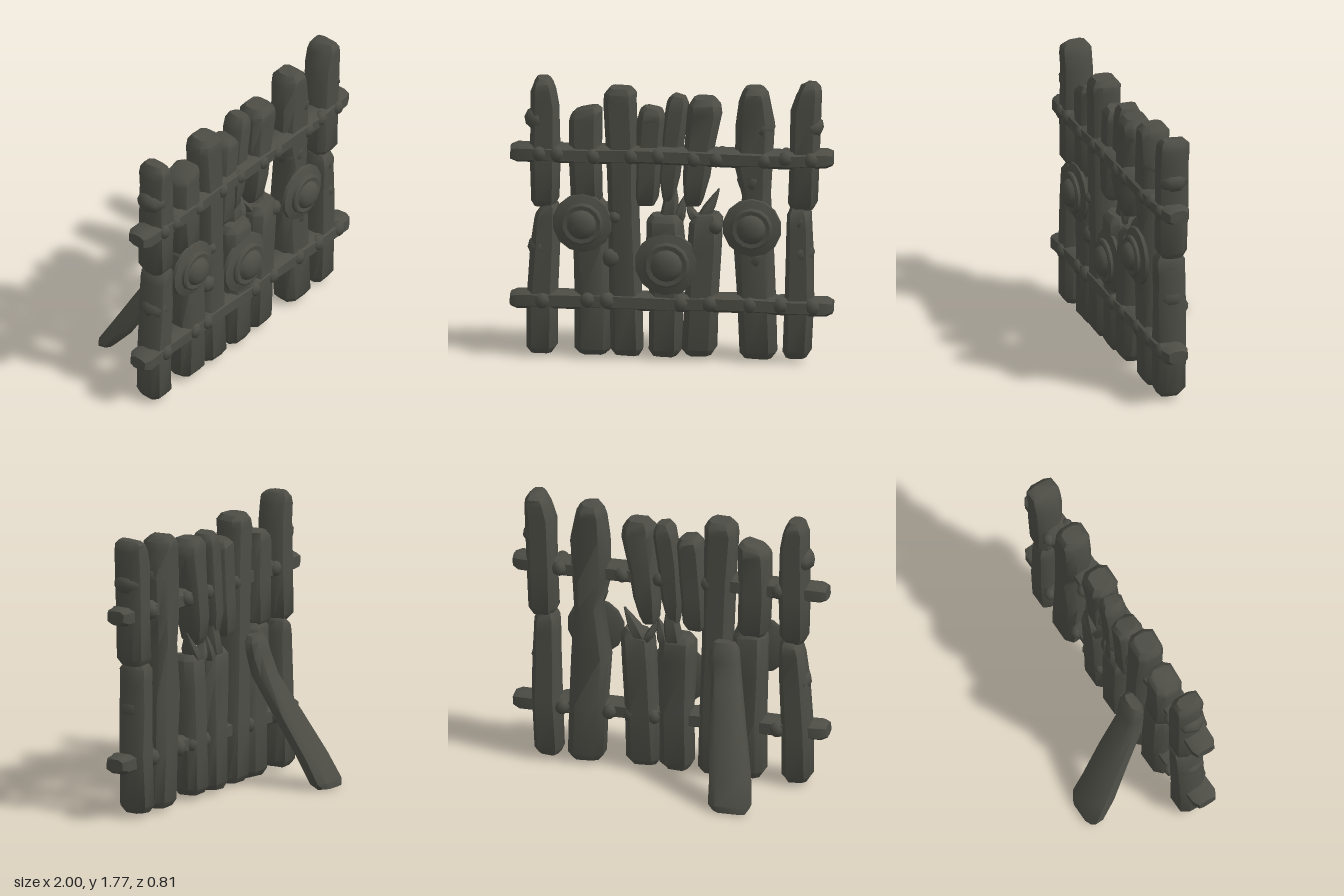
import * as THREE from 'three';
import { toCreasedNormals } from 'three/addons/utils/BufferGeometryUtils.js';

const wood = new THREE.MeshStandardMaterial({ color: 0x4d4d46 });
wood.name = 'dark weathered wood';

// Eight-sided chamfered section, as fractions of half width and half depth
const SECTION = [[1, -0.5], [1, 0.5], [0.62, 1], [-0.62, 1], [-1, 0.5], [-1, -0.5], [-0.62, -1], [0.62, -1]];

let seed = 7;
const rand = () => {
  seed = (seed * 16807) % 2147483647;
  return seed / 2147483647 - 0.5;
};

// Hewn timber through rows of [x, y, z, halfWidth, halfDepth]
function timberGeometry(rows, { wobble = 0.008, slant = 0 } = {}) {
  const n = SECTION.length, pos = [], index = [], last = rows.length - 1;
  const lerpRow = (a, b, t) => a.map((v, i) => v + (b[i] - v) * t);
  const shrink = r => [r[0], r[1], r[2], r[3] * 0.72, r[4] * 0.72];
  const inset = (a, b) => lerpRow(a, b, Math.min(0.4, 0.04 / Math.abs(b[1] - a[1])));
  // rounded ends
  const rings = [shrink(rows[0]), inset(rows[0], rows[1]), ...rows.slice(1, last),
    inset(rows[last], rows[last - 1]), shrink(rows[last])];
  rings.forEach(([x, y, z, w, d], i) => {
    const tilt = i >= rings.length - 2 ? slant : 0;
    SECTION.forEach(([u, v]) => pos.push(
      x + u * w + rand() * wobble, y + tilt * u * w + rand() * wobble, z + v * d + rand() * wobble));
  });
  for (let i = 0; i < rings.length - 1; i++) {
    for (let j = 0; j < n; j++) {
      const a = i * n + j, b = i * n + (j + 1) % n;
      index.push(a, a + n, b, b, a + n, b + n);
    }
  }
  // end caps
  const top = (rings.length - 1) * n;
  for (let j = 1; j < n - 1; j++) {
    index.push(0, j, j + 1, top, top + j + 1, top + j);
  }
  const g = new THREE.BufferGeometry();
  g.setAttribute('position', new THREE.Float32BufferAttribute(pos, 3));
  g.setIndex(index);
  return toCreasedNormals(g, 0.8);
}

export function createModel() {
  const group = new THREE.Group();
  const add = (name, geometry, x = 0, y = 0, z = 0) => {
    const m = new THREE.Mesh(geometry, wood);
    m.name = name;
    m.position.set(x, y, z);
    group.add(m);
    return m;
  };
  // Upright board from rows of [x, y, halfWidth]
  const board = (name, pts, slant = 0, z = 0.21, d = 0.09) =>
    add(name, timberGeometry(pts.map(([x, y, w, k = 1]) => [x, y, z, w, d * k]), { slant }));

  // End posts, each snapped in two
  board('leftPostLower', [[-0.81, 0.02, 0.09], [-0.81, 0.35, 0.09], [-0.79, 0.7, 0.085], [-0.78, 0.87, 0.075], [-0.77, 0.97, 0.055]], 0.3);
  board('leftPostUpper', [[-0.79, 0.95, 0.085], [-0.79, 1.25, 0.09], [-0.79, 1.58, 0.085], [-0.8, 1.68, 0.075], [-0.8, 1.76, 0.05]]);
  board('rightPostLower', [[0.77, 0.03, 0.085], [0.79, 0.4, 0.088], [0.79, 0.68, 0.08], [0.79, 0.85, 0.075], [0.785, 0.98, 0.07]]);
  board('rightPostUpper', [[0.81, 0.97, 0.09], [0.82, 1.3, 0.088], [0.83, 1.6, 0.09], [0.85, 1.7, 0.075], [0.86, 1.765, 0.05]]);

  // Pickets
  board('picketOneLower', [[-0.49, 0.02, 0.11], [-0.49, 0.4, 0.11], [-0.5, 0.7, 0.11], [-0.51, 1.0, 0.1]]);
  board('picketOneUpper', [[-0.53, 0.96, 0.09], [-0.54, 1.25, 0.095], [-0.54, 1.5, 0.098], [-0.53, 1.575, 0.09]], 0.2);
  board('picketTwo', [[-0.28, 0.02, 0.1], [-0.29, 0.4, 0.1], [-0.3, 0.9, 0.09], [-0.31, 1.3, 0.095], [-0.325, 1.62, 0.1], [-0.32, 1.71, 0.09]]);
  board('picketThreeLower', [[-0.045, 0.02, 0.1], [-0.04, 0.4, 0.1], [-0.045, 0.75, 0.115], [-0.05, 0.91, 0.11]]);
  board('picketThreeUpper', [[-0.165, 0.97, 0.075], [-0.15, 1.2, 0.08], [-0.13, 1.5, 0.085], [-0.12, 1.585, 0.07]], -0.2, 0.2, 0.08);
  board('picketFourUpper', [[-0.03, 0.98, 0.03, 0.6], [-0.02, 1.15, 0.065], [0, 1.4, 0.07], [0.025, 1.57, 0.07], [0.04, 1.66, 0.055]], -0.2, 0.19, 0.07);
  board('picketFiveLower', [[0.165, 0.03, 0.105], [0.18, 0.4, 0.1], [0.2, 0.7, 0.1], [0.21, 0.92, 0.1]], 0.15);
  board('picketFiveUpper', [[0.13, 0.97, 0.055, 0.7], [0.15, 1.15, 0.08], [0.17, 1.35, 0.09], [0.2, 1.55, 0.105], [0.2, 1.655, 0.09]]);
  board('picketSix', [[0.535, 0.02, 0.115], [0.52, 0.4, 0.115], [0.505, 0.72, 0.12], [0.52, 1.05, 0.085], [0.505, 1.23, 0.115],
    [0.515, 1.5, 0.115], [0.51, 1.65, 0.09], [0.51, 1.73, 0.07]]);

  // Splinters on the broken boards: root x, y, tip x, y, half width
  [[-0.03, 0.85, 0.005, 1.15, 0.06], [0.03, 0.85, 0.07, 1.02, 0.04], [0.17, 0.85, 0.285, 1.07, 0.05],
    [0.15, 0.86, 0.08, 0.99, 0.035]].forEach(([x0, y0, x1, y1, w], i) => {
    add('splinter' + (i + 1), timberGeometry([[x0, y0, 0.18, w, 0.06],
      [(x0 + x1) / 2, (y0 + y1) / 2, 0.18, w * 0.75, 0.045], [x1, y1, 0.17, 0.006, 0.008]], { wobble: 0.004 }));
  });

  // Cross rails, lofted upright and laid on their side
  [['upperRail', 1.29], ['lowerRail', 0.36]].forEach(([name, y]) => {
    const rows = [];
    for (let i = 0; i <= 8; i++) rows.push([rand() * 0.012, -1 + i * 0.25, 0.23 + rand() * 0.012, 0.056, 0.08]);
    add(name, timberGeometry(rows, { wobble: 0.004 }), 0, y).rotation.z = -Math.PI / 2;
  });

  // Pegs through the rails, front and back
  const lump = new THREE.SphereGeometry(1, 7, 5);
  const peg = (name, x, y, z, sx, sy, sz) => {
    const m = add(name, lump, x, y, z);
    m.scale.set(sx, sy, sz);
    m.rotation.z = rand();
  };
  const upperPegs = [-0.82, -0.71, -0.485, -0.25, -0.08, 0.14, 0.28, 0.58, 0.71, 0.87];
  const lowerPegs = [-0.8, -0.52, -0.4, 0.06, 0.24, 0.49, 0.68, 0.88];
  upperPegs.forEach(x => peg('upperPeg', x, 1.29 + rand() * 0.02, 0.295, 0.047, 0.05, 0.042));
  lowerPegs.forEach(x => peg('lowerPeg', x, 0.37 + rand() * 0.02, 0.295, 0.05, 0.052, 0.042));
  [-0.7, -0.25, 0.06, 0.3, 0.7].forEach(x => peg('upperBackPeg', x, 1.29, 0.155, 0.045, 0.05, 0.04));
  [-0.69, -0.4, 0.1, 0.24, 0.38, 0.68].forEach(x => peg('lowerBackPeg', x, 0.36, 0.155, 0.045, 0.05, 0.04));

  // Knots bulging from the timber: x, y, radius
  [[-0.84, 1.5, 0.08], [-0.82, 0.69, 0.08], [0.87, 1.49, 0.075], [0.8, 0.69, 0.09], [0.79, 0.9, 0.08],
    [0.56, 1.48, 0.085], [0.52, 0.66, 0.11], [0.5, 1.14, 0.1]].forEach(([x, y, r]) =>
    peg('knot', x, y, 0.215, r, r * 0.95, 0.098));
  [[-0.375, 0.64, 0.06], [-0.35, 0.9, 0.04], [0.275, 0.855, 0.05]].forEach(([x, y, r]) =>
    peg('smallKnot', x, y, 0.28, r, r, 0.045));

  // Stepped round bosses on the front
  const profile = [[0.001, 0], [0.17, 0], [0.19, 0.012], [0.186, 0.03], [0.135, 0.045], [0.133, 0.062], [0.122, 0.07],
    [0.095, 0.066], [0.085, 0.085], [0.07, 0.1], [0.04, 0.112], [0.001, 0.116]].map(p => new THREE.Vector2(...p));
  const boss = toCreasedNormals(new THREE.LatheGeometry(profile, 14), 0.7);
  [[-0.55, 0.86, 0.98, 0.28], [-0.025, 0.61, 1.06, 0.27], [0.505, 0.86, 0.97, 0.295]].forEach(([x, y, s, z], i) => {
    const m = add('roundBoss' + (i + 1), boss, x, y, z);
    m.rotation.x = Math.PI / 2;
    m.scale.set(s, 1, s);
  });

  // Leaning brace at the back
  add('backBrace', timberGeometry([[-0.525, 0.005, -0.36, 0.135, 0.055], [-0.5, 0.2, -0.245, 0.125, 0.062],
    [-0.45, 0.45, -0.105, 0.11, 0.062], [-0.4, 0.7, 0.04, 0.095, 0.066], [-0.38, 0.83, 0.07, 0.09, 0.056],
    [-0.375, 0.945, 0.088, 0.085, 0.045]]));
  return group;
}
